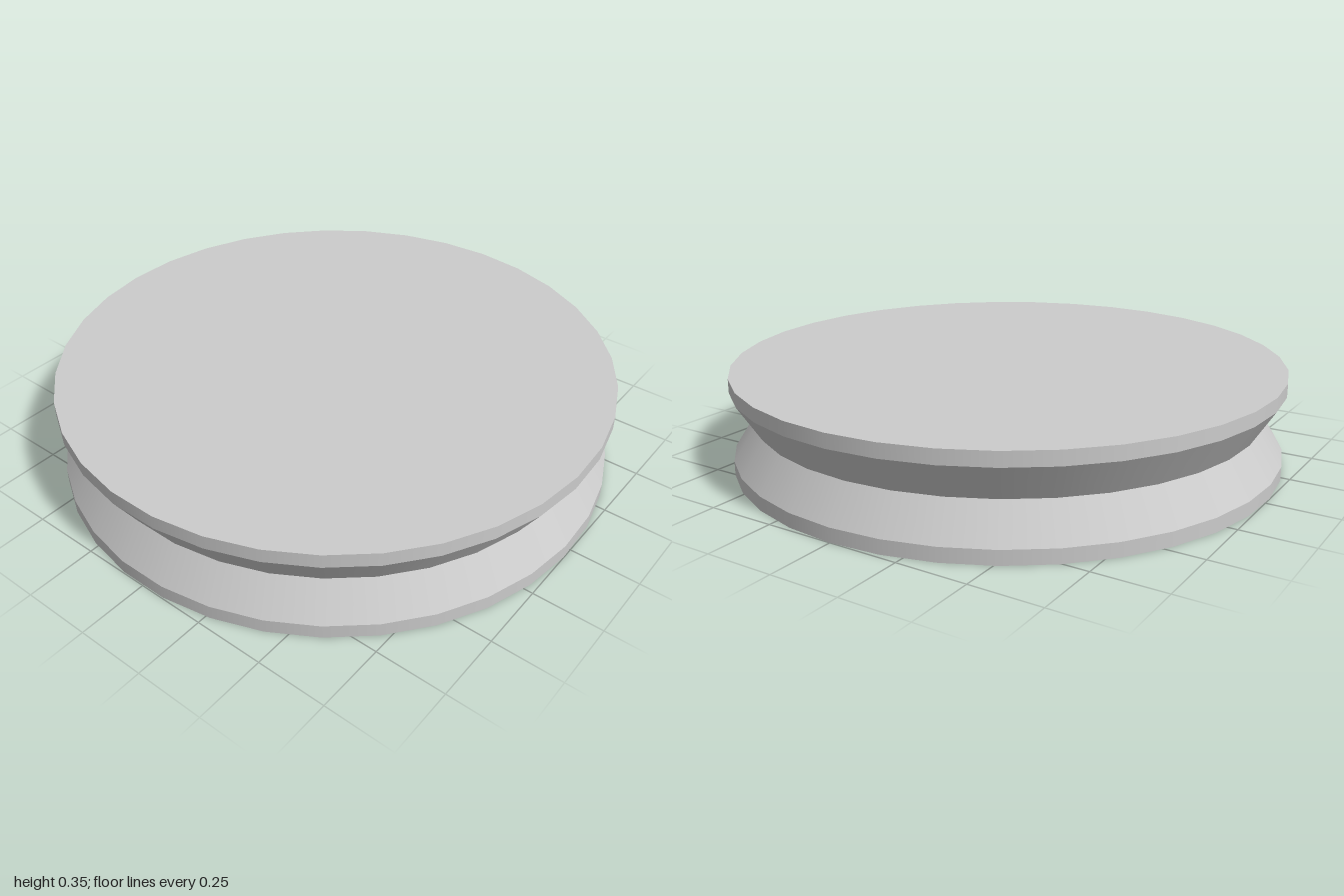
import * as THREE from 'three';

const SIDES = 35;

export function createModel() {
  const material = new THREE.MeshStandardMaterial({ color: 0xcccccc });
  const group = new THREE.Group();
  group.name = 'groovedWheel';

  const add = (name, geometry) => {
    const mesh = new THREE.Mesh(geometry, material);
    mesh.name = name;
    group.add(mesh);
    return mesh;
  };

  // Each band is its own lathe, so it is smooth around and sharp at its edges
  const profile = [[1, 0], [1, 0.05], [0.92, 0.173], [1, 0.3], [1, 0.35]]
    .map(([r, y]) => new THREE.Vector2(r, y));
  const names = ['lowerRim', 'lowerGrooveWall', 'upperGrooveWall', 'upperRim'];
  names.forEach((name, i) =>
    add(name, new THREE.LatheGeometry([profile[i], profile[i + 1]], SIDES, Math.PI)));

  // Flat end faces, turned so their corners meet the rims
  const top = add('topFace', new THREE.CircleGeometry(1, SIDES, Math.PI / 2));
  top.rotation.x = -Math.PI / 2;
  top.position.y = 0.35;
  const bottom = add('bottomFace', new THREE.CircleGeometry(1, SIDES, -Math.PI / 2));
  bottom.rotation.x = Math.PI / 2;

  return group;
}
